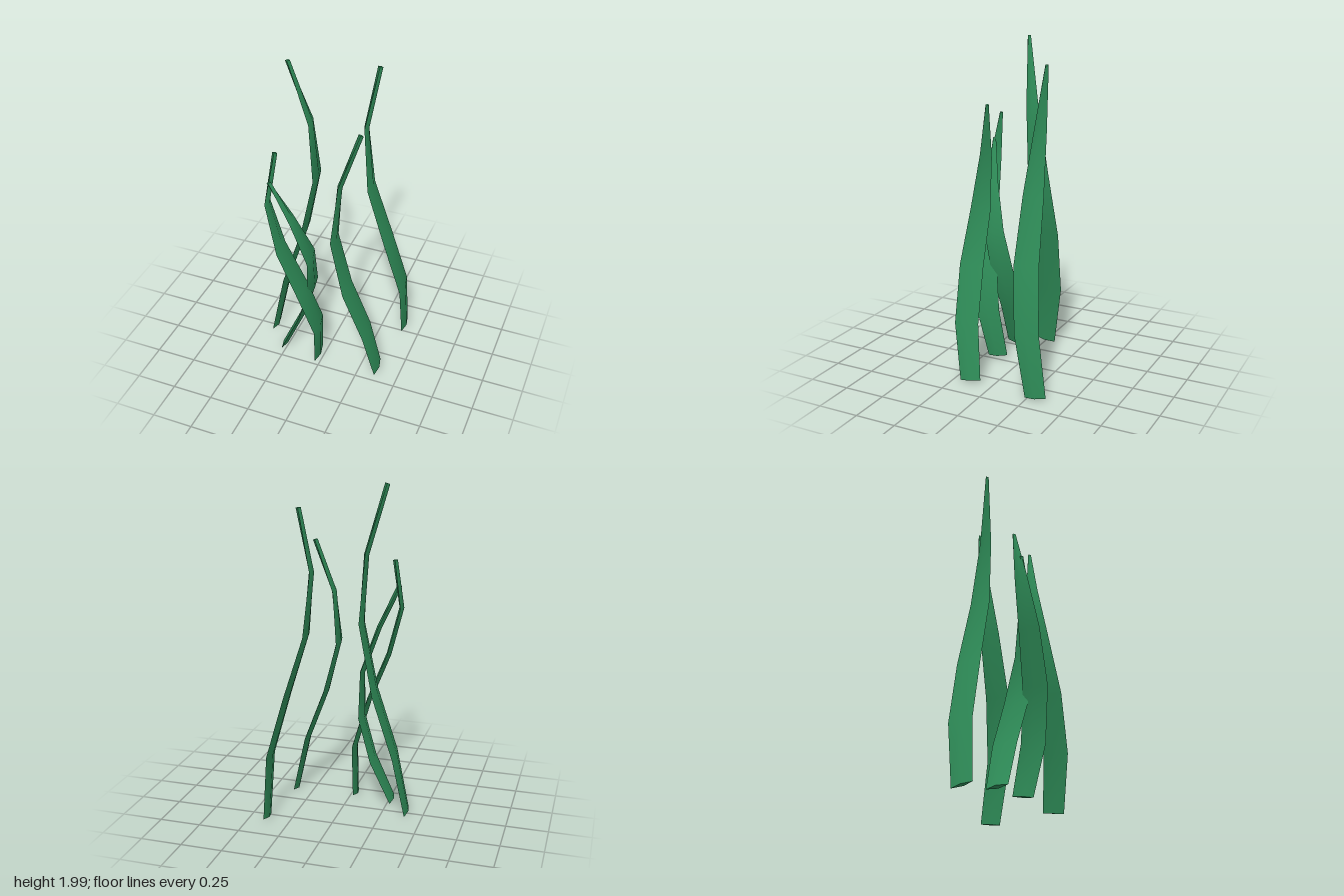
import * as THREE from 'three';
import { mergeGeometries } from 'three/addons/utils/BufferGeometryUtils.js';

// Each blade: centre points from root to tip
const BLADES = {
  tallBlade: [[-0.394, 0.02, 0.003], [-0.33, 0.41, -0.055], [-0.212, 0.8, -0.083], [-0.125, 1.21, -0.065], [-0.14, 1.6, -0.02], [-0.24, 1.995, 0.05]],
  backBlade: [[0.392, 0.02, -0.303], [0.386, 0.4, -0.242], [0.29, 0.77, -0.194], [0.175, 1.14, -0.18], [0.13, 1.52, -0.202], [0.182, 1.888, -0.263]],
  frontBlade: [[0.357, 0.02, 0.14], [0.297, 0.35, 0.195], [0.18, 0.67, 0.222], [0.092, 1.0, 0.205], [0.107, 1.33, 0.158], [0.203, 1.648, 0.094]],
  middleBlade: [[-0.031, 0.02, 0.16], [-0.008, 0.32, 0.216], [-0.085, 0.62, 0.275], [-0.2, 0.92, 0.305], [-0.277, 1.22, 0.298], [-0.246, 1.522, 0.24]],
  shortBlade: [[-0.27, 0.02, 0.141], [-0.153, 0.29, 0.119], [-0.072, 0.55, 0.145], [-0.06, 0.82, 0.198], [-0.15, 1.1, 0.255], [-0.263, 1.355, 0.298]],
};
const WIDTHS = [0.134, 0.156, 0.158, 0.132, 0.078, 0.02];
const HALF_THICKNESS = 0.015;

// Diamond cross-section at one centre point, square to the blade's direction
function ring(points, i) {
  const last = points.length - 1;
  const t = points[Math.min(i + 1, last)].clone().sub(points[Math.max(i - 1, 0)]).normalize();
  const w = new THREE.Vector3(0, 0, 1).addScaledVector(t, -t.z).normalize();
  const n = new THREE.Vector3().crossVectors(t, w);
  const at = (dir, d) => points[i].clone().addScaledVector(dir, d);
  const h = WIDTHS[i] / 2;
  return [at(w, h), at(n, HALF_THICKNESS), at(w, -h), at(n, -HALF_THICKNESS)];
}

function geometryFrom(vertices, index) {
  const g = new THREE.BufferGeometry().setFromPoints(vertices);
  g.setIndex(index);
  g.computeVertexNormals();
  return g;
}

function bladeGeometry(centres) {
  const points = centres.map((p) => new THREE.Vector3(...p));
  const rings = points.map((_, i) => ring(points, i));
  // Two smooth faces that meet in sharp edges
  const faces = [[0, 1, 2], [2, 3, 0]].map((columns) => {
    const vertices = rings.flatMap((r) => columns.map((c) => r[c]));
    const index = [];
    for (let row = 0; row < rings.length - 1; row++) {
      for (let col = 0; col < 2; col++) {
        const a = row * 3 + col;
        index.push(a, a + 1, a + 4, a, a + 4, a + 3);
      }
    }
    return geometryFrom(vertices, index);
  });
  // Flat ends
  const root = geometryFrom(rings[0], [0, 2, 1, 0, 3, 2]);
  const tip = geometryFrom(rings[rings.length - 1], [0, 1, 2, 0, 2, 3]);
  return mergeGeometries([...faces, root, tip]);
}

export function createModel() {
  const group = new THREE.Group();
  group.name = 'grassTuft';
  const green = new THREE.MeshStandardMaterial({ color: 0x2e8b57 });
  green.name = 'leafGreen';
  for (const [name, centres] of Object.entries(BLADES)) {
    const blade = new THREE.Mesh(bladeGeometry(centres), green);
    blade.name = name;
    group.add(blade);
  }
  return group;
}
